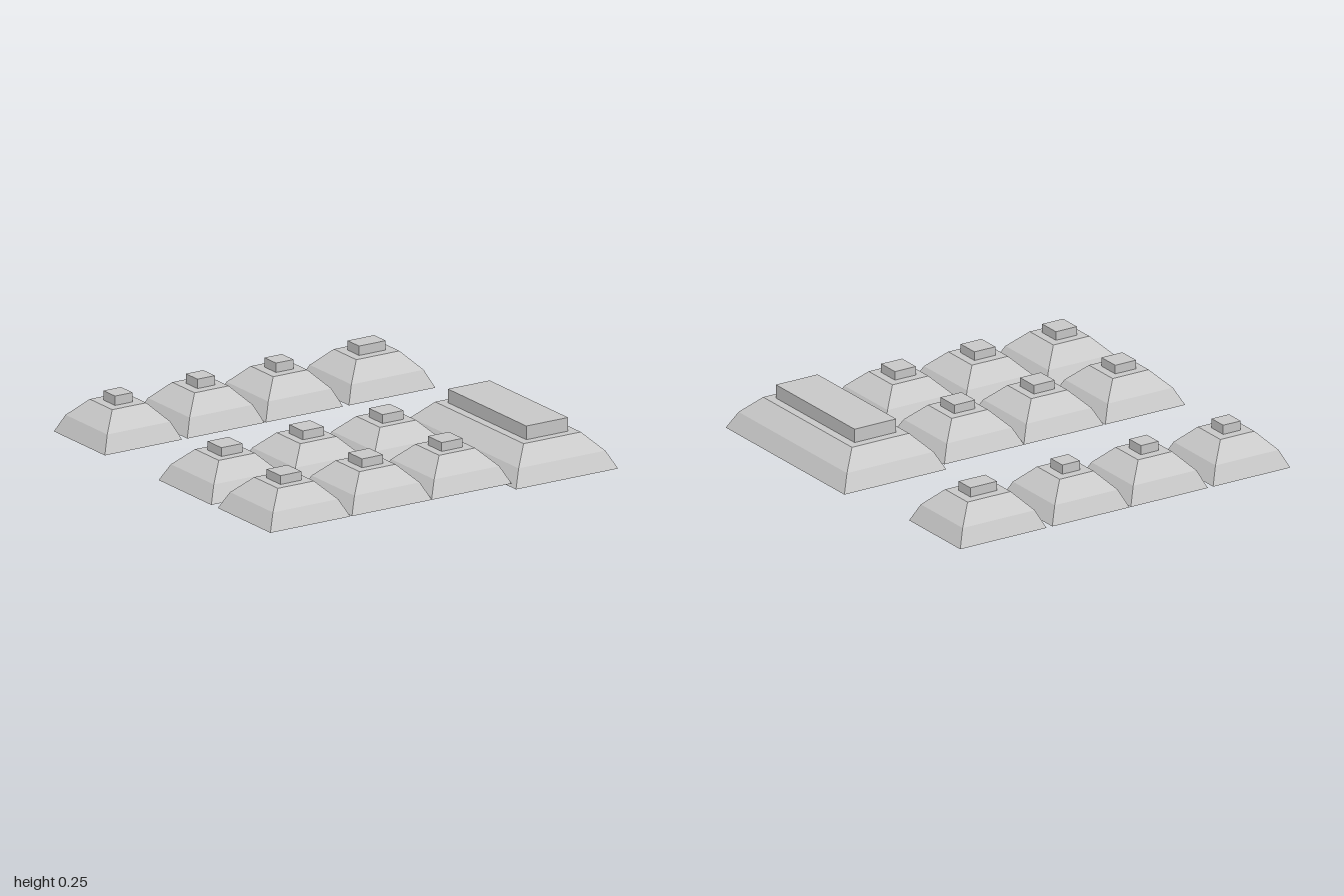
import * as THREE from 'three';

const material = new THREE.MeshStandardMaterial({ color: 0xcccccc, flatShading: true });

// Closed block whose four sides lean in twice, given its footprint and heights
function bevelledBase(w, d, y0, y1, midInset, topInset) {
  const geo = new THREE.BoxGeometry(w, 1, d, 1, 2, 1);
  const p = geo.attributes.position;
  for (let i = 0; i < p.count; i++) {
    const t = p.getY(i) + 0.5; // 0 at the foot, 0.5 at the crease, 1 at the top
    const inset = t < 0.25 ? 0 : t < 0.75 ? midInset : topInset;
    p.setXYZ(
      i,
      p.getX(i) - Math.sign(p.getX(i)) * inset,
      y0 + (y1 - y0) * t,
      p.getZ(i) - Math.sign(p.getZ(i)) * inset
    );
  }
  const flat = geo.toNonIndexed();
  flat.computeVertexNormals();
  return flat;
}

// One key: bevelled base with a rectangular plate on its flat top
function makeKey(name, k) {
  const key = new THREE.Group();
  key.name = name;
  key.position.set((k.x0 + k.x1) / 2, 0, (k.z0 + k.z1) / 2);
  const w = k.x1 - k.x0;
  const d = k.z1 - k.z0;

  const base = new THREE.Mesh(bevelledBase(w, d, k.y0, k.y1, k.mid, k.top), material);
  base.name = 'keyBase';

  const h = k.y2 - k.y1;
  const plate = new THREE.Mesh(
    new THREE.BoxGeometry(w - 2 * k.plate, h, d - 2 * k.plate),
    material
  );
  plate.name = 'keyPlate';
  plate.position.y = k.y1 + h / 2;

  key.add(base, plate);
  return key;
}

export function createModel() {
  const model = new THREE.Group();
  model.name = 'keyBlock';

  // Two front rows of three square keys
  const frontStyle = { y0: 0.02, y1: 0.19, y2: 0.235, mid: 0.043, top: 0.128, plate: 0.172 };
  [-0.043, 0.48].forEach((z0, row) => {
    [-1, -0.525, -0.061].forEach((x0, col) => {
      model.add(makeKey(`squareKey${row}${col}`, {
        ...frontStyle, x0, x1: x0 + 0.466, z0, z1: z0 + 0.466
      }));
    });
  });

  // Back row of four keys, the last one wider
  const backStyle = { y0: 0.01, y1: 0.187, y2: 0.235, mid: 0.041, top: 0.126, plate: 0.174 };
  [[-0.99, -0.54], [-0.51, -0.06], [-0.052, 0.398], [0.432, 0.935]].forEach(([x0, x1], i) => {
    model.add(makeKey(`backKey${i}`, { ...backStyle, x0, x1, z0: -0.985, z1: -0.534 }));
  });

  // Tall key beside the front rows
  model.add(makeKey('tallKey', {
    x0: 0.405, x1: 1, z0: -0.061, z1: 0.985,
    y0: 0, y1: 0.175, y2: 0.245, mid: 0.045, top: 0.131, plate: 0.176
  }));

  return model;
}
